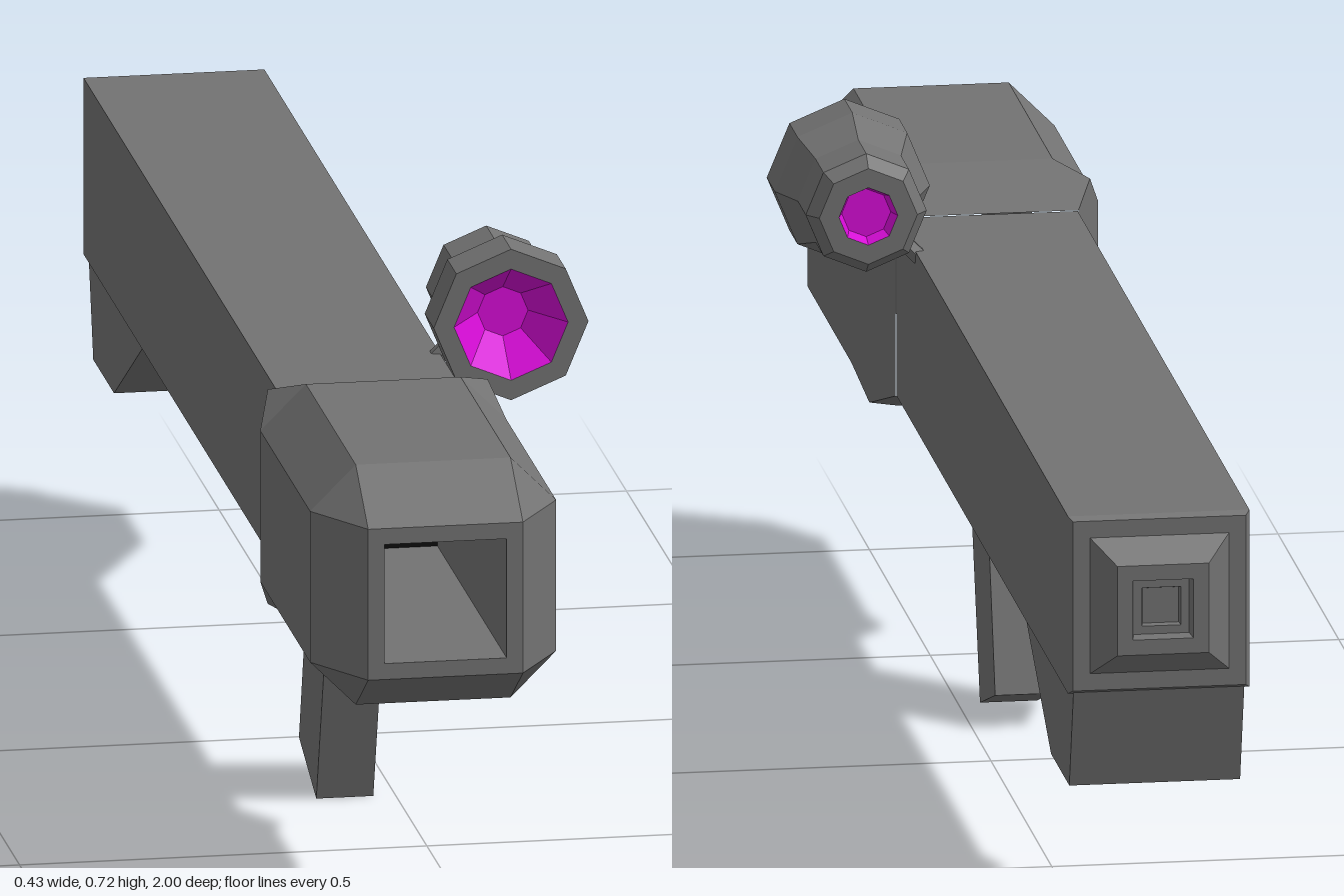
import * as THREE from 'three';

const CX = -0.062, CY = 0.452; // axis of the launch tube

const grey = new THREE.MeshStandardMaterial({ color: 0x727272, flatShading: true });
grey.name = 'gunmetal grey';
const magenta = new THREE.MeshStandardMaterial({ color: 0xd60cd6, flatShading: true });
magenta.name = 'lens magenta';
const black = new THREE.MeshStandardMaterial({ color: 0x0d0d0d, flatShading: true });
black.name = 'bore black';

// Skin through chamfered squares [z, half size, half length of the flat side]
function loft(sections) {
  const rings = sections.map(([z, h, f = h]) =>
    [[h, -f], [h, f], [f, h], [-f, h], [-h, f], [-h, -f], [-f, -h], [f, -h]]
      .map(([x, y]) => [x + CX, y + CY, z]));
  const pos = [];
  for (let k = 0; k < rings.length - 1; k++) {
    for (let i = 0; i < 8; i++) {
      const j = (i + 1) % 8;
      const a = rings[k][i], b = rings[k][j], c = rings[k + 1][i], d = rings[k + 1][j];
      pos.push(...a, ...c, ...b, ...b, ...c, ...d);
    }
  }
  const g = new THREE.BufferGeometry();
  g.setAttribute('position', new THREE.Float32BufferAttribute(pos, 3));
  g.computeVertexNormals();
  return g;
}

// Side outline given as [z, y], extruded across x about the tube axis
function sidePlate(outline, width) {
  const shape = new THREE.Shape(outline.map(([z, y]) => new THREE.Vector2(-z, y)));
  const g = new THREE.ExtrudeGeometry(shape, { depth: width, bevelEnabled: false });
  g.translate(0, 0, -width / 2);
  g.rotateY(Math.PI / 2);
  g.translate(CX, 0, 0);
  return g;
}

// Eight-sided turned part along z, profile as [radius, z]
function turned(profile) {
  const g = new THREE.LatheGeometry(profile.map(([r, z]) => new THREE.Vector2(r, z)), 8);
  g.rotateX(Math.PI / 2);
  g.translate(0.117, 0.628, 0);
  return g;
}

export function createModel() {
  const model = new THREE.Group();
  model.name = 'launcher';
  const add = (name, geometry, material = grey) => {
    const mesh = new THREE.Mesh(geometry, material);
    mesh.name = name;
    model.add(mesh);
    return mesh;
  };

  // Muzzle with an open square bore and chamfered corners
  add('muzzle', loft([
    [0.5, 0.075], [1, 0.075], [1, 0.095], [0.91, 0.151, 0.095],
    [0.55, 0.151, 0.095], [0.51, 0.135], [0.45, 0.112],
  ]));
  const bore = new THREE.PlaneGeometry(0.15, 0.15);
  bore.translate(CX, CY, 0.5);
  add('boreEnd', bore, black);

  // Long tube, ending in a stepped rear plug with a recess
  add('tube', loft([[0.45, 0.111], [-0.962, 0.111], [-0.97, 0.106], [-0.97, 0.085]]));
  add('rearPlug', loft([
    [-0.97, 0.085], [-1, 0.056], [-1, 0.037], [-0.985, 0.034],
    [-0.985, 0.024], [-0.978, 0.022], [-0.978, 0],
  ]));

  // Rear fin and slanted grip
  add('rearFin', sidePlate([[-0.55, 0.345], [-0.965, 0.345], [-0.93, 0.217], [-0.78, 0.217]], 0.209));
  add('grip', sidePlate([[0.379, 0.343], [0.233, 0.343], [0.147, 0.042], [0.272, 0]], 0.07));

  // Sight: housing with lenses set into both ends
  add('sightHousing', turned([
    [0.036, 0.222], [0.06, 0.222], [0.074, 0.24], [0.074, 0.305], [0.095, 0.355],
    [0.095, 0.42], [0.07, 0.42],
  ]));
  add('frontLens', turned([[0.07, 0.42], [0.031, 0.36], [0, 0.36]]), magenta);
  add('rearLens', turned([[0, 0.24], [0.03, 0.24], [0.036, 0.222]]), magenta);

  // Short stem joining the sight to the tube
  const stem = add('sightStem', new THREE.CylinderGeometry(0.011, 0.011, 0.06, 6));
  stem.position.set(0.056, 0.567, 0.3);
  stem.rotation.z = -Math.PI / 4;

  return model;
}
